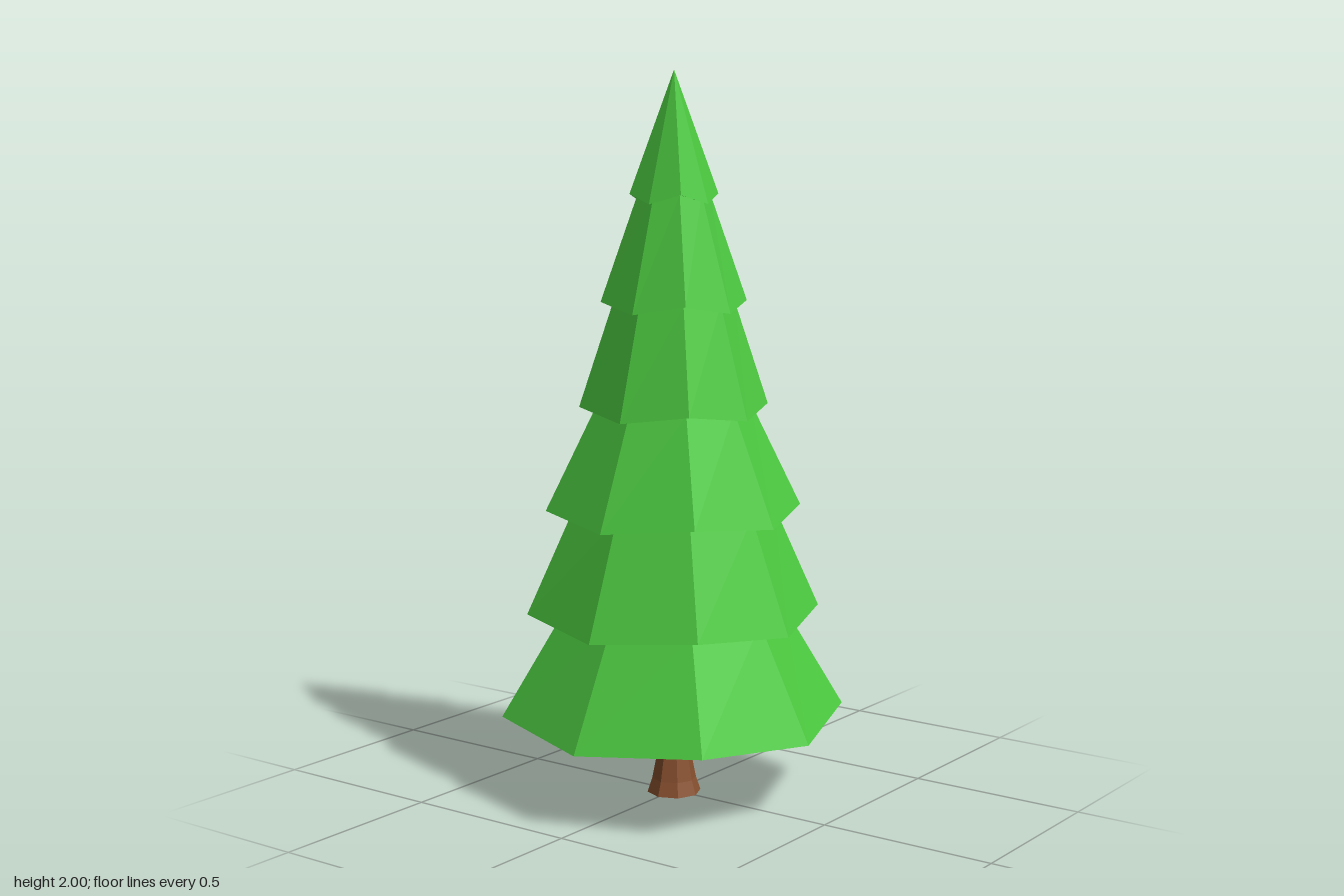
import * as THREE from 'three';

const SIDES = 8;

// Skin a stack of octagonal rings [radius, y, cornerLift]; odd corners are the diagonals.
function skinRings(rings, diagonalScale) {
  const pos = [];
  const point = ([r, y, lift = 0], i) => {
    const a = (i % SIDES) * Math.PI * 2 / SIDES;
    const odd = i % 2;
    const rr = odd ? r * diagonalScale : r;
    return [rr * Math.sin(a), y + odd * lift, rr * Math.cos(a)];
  };
  for (let k = 0; k < rings.length - 1; k++) {
    const [lo, hi] = [rings[k], rings[k + 1]];
    for (let i = 0; i < SIDES; i++) {
      const a = point(lo, i), b = point(lo, i + 1);
      const c = point(hi, i + 1), d = point(hi, i);
      if (lo[0] > 0) pos.push(...a, ...b, ...c);
      if (hi[0] > 0) pos.push(...a, ...c, ...d);
    }
  }
  const g = new THREE.BufferGeometry();
  g.setAttribute('position', new THREE.Float32BufferAttribute(pos, 3));
  g.computeVertexNormals();
  return g;
}

export function createModel() {
  const tree = new THREE.Group();
  tree.name = 'pineTree';
  const green = new THREE.MeshStandardMaterial({ color: 0x4cc940, flatShading: true });
  const brown = new THREE.MeshStandardMaterial({ color: 0x88502f, flatShading: true });

  // Branch tiers: hem radius, hem height, radius at the top where it tucks under the next tier
  const tiers = [
    [0.447, 0.21, 0.288],
    [0.38, 0.497, 0.26],
    [0.33, 0.785, 0.2],
    [0.243, 1.07, 0.155],
    [0.187, 1.355, 0.092],
    [0.113, 1.645, 0],
  ];
  const lift = 0.025;
  const foliage = new THREE.Group();
  foliage.name = 'foliage';
  tiers.forEach(([hem, y, top], i) => {
    const last = i === tiers.length - 1;
    const inner = i ? tiers[i - 1][2] : 0;
    const topY = last ? 2 : tiers[i + 1][1] + lift;
    const geometry = skinRings([[inner, y + lift], [hem, y, lift], [top, topY]], 1.075);
    const tier = new THREE.Mesh(geometry, green);
    tier.name = `branchTier${i + 1}`;
    foliage.add(tier);
  });
  tree.add(foliage);

  // Trunk flaring at the roots and slightly under the branches
  const trunk = new THREE.Mesh(
    skinRings([[0, 0], [0.075, 0], [0.062, 0.04], [0.048, 0.11], [0.055, 0.24], [0, 0.24]], 1),
    brown
  );
  trunk.name = 'trunk';
  tree.add(trunk);
  return tree;
}
